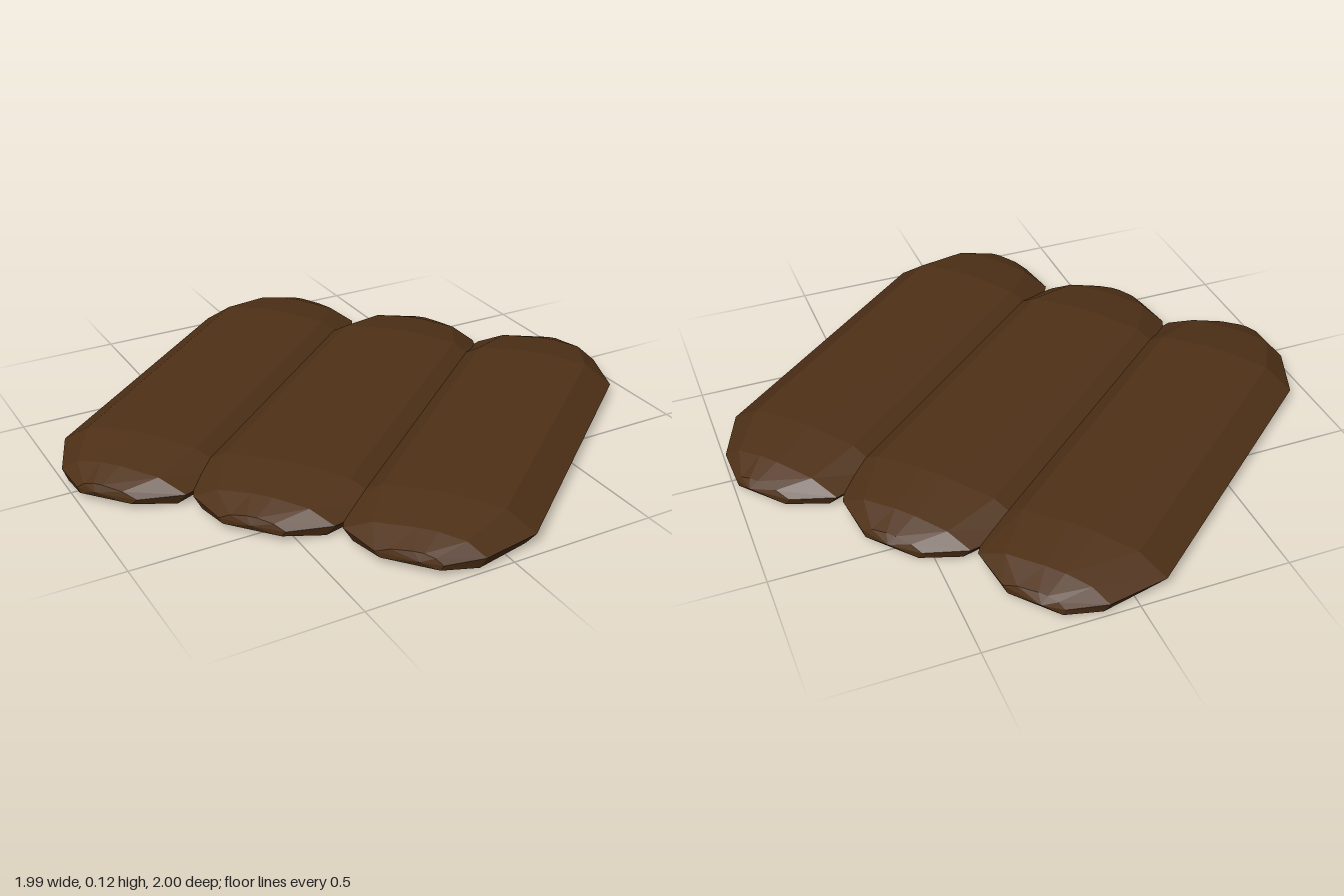
import * as THREE from 'three';

const bark = new THREE.MeshStandardMaterial({ color: 0x4f3117, flatShading: true });

// Half-log lofted along x. left/right are the widths [tip, shoulder, middle] on the -z / +z sides.
function makeLog(name, left, right, z, jitter) {
  const stations = [
    // x, width index, top height, edge height, underside height
    [-0.79, 0, 0.068, 0.04, 0.022],
    [-0.71, 1, 0.097, 0.042, 0.004],
    [-0.53, 2, 0.12, 0.04, 0],
    [0.53, 2, 0.12, 0.04, 0],
    [0.71, 1, 0.097, 0.042, 0.004],
    [0.79, 0, 0.068, 0.04, 0.015],
  ];
  const pos = [], index = [];
  for (const [x, w, top, edge, low] of stations) {
    const a = -left[w], b = right[w];
    const ring = [
      [a, edge], [a * 0.65, top * 0.87], [a * 0.15, top],
      [b * 0.15, top], [b * 0.65, top * 0.87], [b, edge],
      [b * 0.88, low], [a * 0.88, low],
    ];
    for (const [dz, y] of ring) pos.push(x + (x > 0 ? jitter : 0), y, z + dz);
  }
  const n = 8, last = (stations.length - 1) * n;
  for (let i = 0; i < last; i += n) {
    for (let j = 0; j < n; j++) {
      const k = (j + 1) % n;
      index.push(i + j, i + k, i + n + k, i + j, i + n + k, i + n + j);
    }
  }
  // Blunt pointed ends
  const c0 = pos.length / 3;
  pos.push(-0.8, 0.042, z, 0.81 + jitter, 0.042, z);
  for (let j = 0; j < n; j++) {
    const k = (j + 1) % n;
    index.push(c0, k, j, c0 + 1, last + j, last + k);
  }
  let geo = new THREE.BufferGeometry();
  geo.setAttribute('position', new THREE.Float32BufferAttribute(pos, 3));
  geo.setIndex(index);
  geo = geo.toNonIndexed();
  geo.computeVertexNormals();
  const mesh = new THREE.Mesh(geo, bark);
  mesh.name = name;
  return mesh;
}

export function createModel() {
  const group = new THREE.Group();
  group.name = 'logPlatform';
  const outer = [0.07, 0.175, 0.275]; // exposed side
  const inner = [0.14, 0.27, 0.33];   // side merging into the neighbour
  const middle = [0.11, 0.235, 0.33];
  const logs = new THREE.Group();
  logs.name = 'logs';
  logs.add(
    makeLog('backLog', outer, inner, -0.53, 0.005),
    makeLog('middleLog', middle, middle, 0, 0.005),
    makeLog('frontLog', inner, outer, 0.53, 0),
  );
  logs.rotation.y = 0.694; // laid diagonally
  group.add(logs);
  return group;
}
